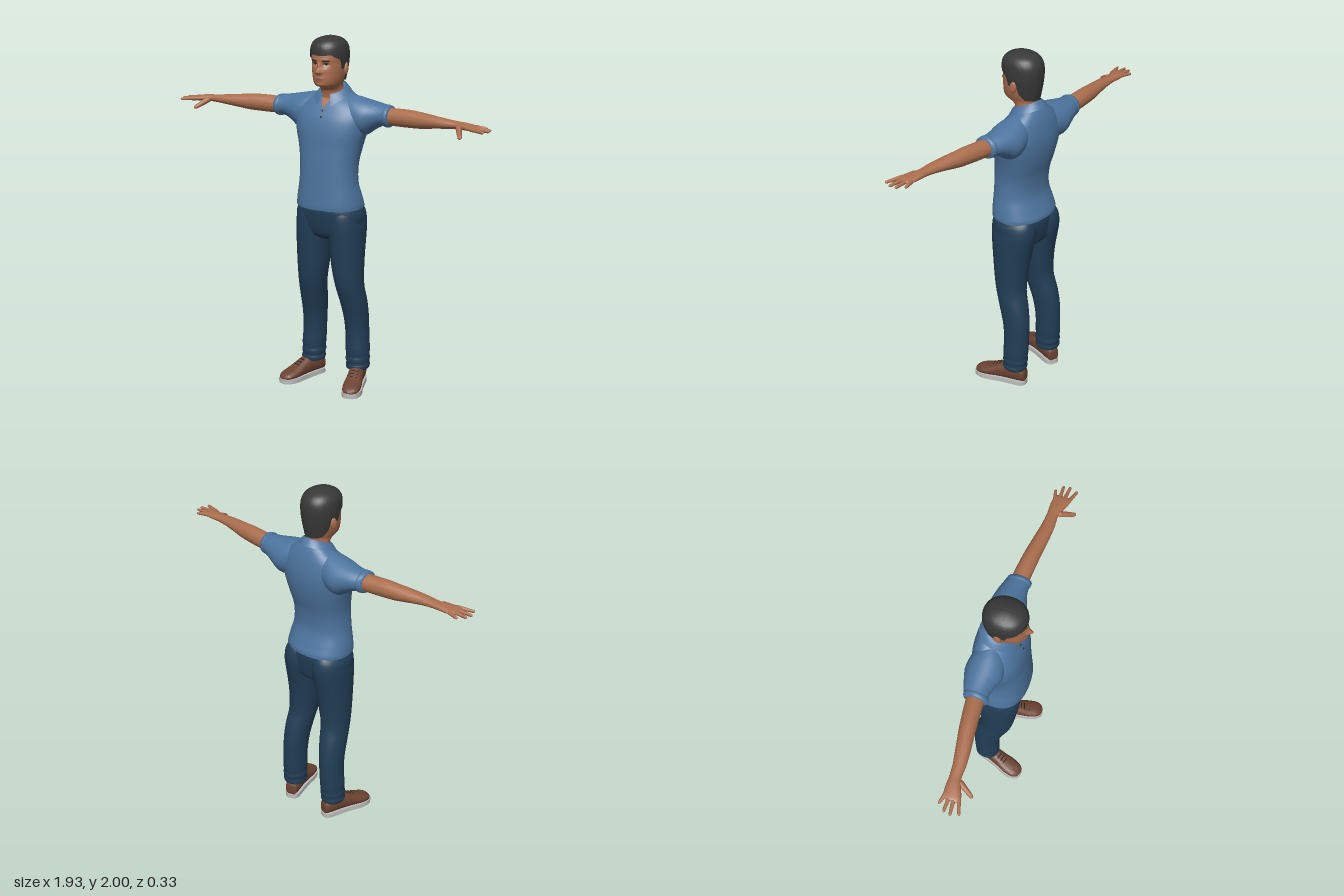
import * as THREE from 'three';
import { toCreasedNormals } from 'three/addons/utils/BufferGeometryUtils.js';

const paint = (name, color, side = THREE.FrontSide) =>
  Object.assign(new THREE.MeshStandardMaterial({ color, side }), { name });

// Skin a list of point rows; the winding is flipped when it would face inwards
function skinRows(rows, closed = true, caps = [true, true]) {
  const n = rows[0].length, pts = rows.flat(), idx = [];
  const last = closed ? n : n - 1;
  for (let r = 0; r < rows.length - 1; r++) for (let i = 0; i < last; i++) {
    const a = r * n + i, b = r * n + (i + 1) % n;
    idx.push(a, a + n, b, b, a + n, b + n);
  }
  [0, rows.length - 1].forEach((r, k) => {
    if (!caps[k]) return;
    const c = rows[r].reduce((s, p) => s.add(p), new THREE.Vector3()).divideScalar(n);
    pts.push(c);
    for (let i = 0; i < n; i++) {
      const a = r * n + i, b = r * n + (i + 1) % n;
      idx.push(pts.length - 1, ...(k ? [b, a] : [a, b]));
    }
  });
  const mid = pts.reduce((s, p) => s.add(p), new THREE.Vector3()).divideScalar(pts.length);
  const q = pts.map(p => p.clone().sub(mid));
  let volume = 0;
  for (let i = 0; i < idx.length; i += 3)
    volume += q[idx[i]].dot(q[idx[i + 1]].clone().cross(q[idx[i + 2]]));
  if (volume < 0) idx.reverse();
  const g = new THREE.BufferGeometry().setFromPoints(pts);
  g.setIndex(idx);
  return toCreasedNormals(g, 1.0);
}

// Smoothly interpolate stations [t, centre, radius, high, low, tilt]
function refine(st, sub) {
  const out = [], at = i => st[Math.min(Math.max(i, 0), st.length - 1)];
  for (let i = 0; i < st.length - 1; i++) for (let k = 0; k < sub; k++) {
    const f = k / sub;
    out.push([0, 1, 2, 3, 4, 5].map(j => {
      const [a, b, c, d] = [-1, 0, 1, 2].map(o => at(i + o)[j] ?? 0);
      return b + 0.5 * f * (c - a + f * (2 * a - 5 * b + 4 * c - d + f * (3 * (b - c) + d - a)));
    }));
  }
  out.push([0, 1, 2, 3, 4, 5].map(j => at(st.length)[j] ?? 0));
  return out;
}

// Loft superellipse rings along an axis; s = -1 mirrors in x
function loft(st, { axis = 'y', s = 1, seg = 40, sub = 5, e = 2, warp } = {}) {
  const rows = refine(st, sub).map(([t, c, r, hi, lo, tilt]) => Array.from({ length: seg }, (_, i) => {
    const a = i / seg * Math.PI * 2, pw = v => Math.sign(v) * Math.abs(v) ** (2 / e);
    const u = c + r * pw(Math.cos(a)), v = (hi + lo) / 2 + (hi - lo) / 2 * pw(Math.sin(a));
    const w = t - tilt * Math.sin(a);
    const p = axis === 'y' ? new THREE.Vector3(u, w, v)
      : axis === 'x' ? new THREE.Vector3(w, v, u) : new THREE.Vector3(u, v, w);
    if (warp) warp(p);
    p.x *= s;
    return p;
  }));
  return skinRows(rows);
}

// Thin plate lying on the front of a mesh; xs = [left, right] at y0 then at y1
function patch(target, [a, b, c, d], y0, y1, lift = 0.003) {
  const g = new THREE.PlaneGeometry(1, 1, 8, 8), p = g.attributes.position;
  const ray = new THREE.Raycaster(), dir = new THREE.Vector3(0, 0, -1);
  for (let i = 0; i < p.count; i++) {
    const u = p.getX(i) + 0.5, v = p.getY(i) + 0.5;
    const x = (a + (b - a) * u) * (1 - v) + (c + (d - c) * u) * v, y = y0 + (y1 - y0) * v;
    ray.set(new THREE.Vector3(x, y, 1), dir);
    p.setXYZ(i, x, y, (ray.intersectObject(target)[0]?.point.z ?? 0.05) + lift);
  }
  g.computeVertexNormals();
  return g;
}
const mirrorX = ([a, b, c, d], s) => s > 0 ? [a, b, c, d] : [-b, -a, -d, -c];

// Tapered capsule between two points
function finger(a, b, r, s) {
  const A = new THREE.Vector3(...a), B = new THREE.Vector3(...b);
  A.x *= s; B.x *= s;
  const d = B.clone().sub(A), len = d.length();
  const g = new THREE.CapsuleGeometry(r, len - r, 5, 12), p = g.attributes.position;
  for (let i = 0; i < p.count; i++) {
    const k = 0.85 - 0.35 * p.getY(i) / len;
    p.setXYZ(i, p.getX(i) * k, p.getY(i), p.getZ(i) * k);
  }
  g.computeVertexNormals();
  g.applyQuaternion(new THREE.Quaternion().setFromUnitVectors(new THREE.Vector3(0, 1, 0), d.normalize()));
  return g.translate((A.x + B.x) / 2, (A.y + B.y) / 2, (A.z + B.z) / 2);
}

export function createModel() {
  const model = new THREE.Group();
  const skin = paint('skin', 0xab6e4e), hair = paint('hair', 0x383838);
  const shirt = paint('shirt blue', 0x4d759f, THREE.DoubleSide), trousers = paint('trouser navy', 0x223e56);
  const leather = paint('shoe brown', 0x6c4331), rubber = paint('sole grey', 0xbdbdbd);
  const dark = paint('dark detail', 0x241c1a), white = paint('eye white', 0xcfc8c2);
  const lip = paint('lips', 0x94594a);
  const add = (name, geo, mat, parent = model) => {
    const m = new THREE.Mesh(geo, mat);
    m.name = name;
    parent.add(m);
    return m;
  };

  // Head and neck, with nose, lips, chin, brow and eye sockets pushed in and out
  const bump = (p, h, x, y, sx, sy) => h * Math.exp(-(((Math.abs(p.x) - x) / sx) ** 2) - ((p.y - y) / sy) ** 2);
  const head = add('head', loft([
    [1.6, 0, .064, .03, -.1], [1.69, 0, .061, .035, -.095], [1.718, 0, .06, .055, -.09],
    [1.735, 0, .063, .1, -.09], [1.75, 0, .07, .112, -.09], [1.78, 0, .079, .114, -.094],
    [1.82, 0, .085, .114, -.1], [1.86, 0, .088, .112, -.105], [1.9, 0, .09, .112, -.107],
    [1.94, 0, .083, .1, -.098], [1.97, 0, .06, .07, -.07], [1.985, 0, .02, .03, -.03],
  ], {
    seg: 96, sub: 7, e: 2.15, warp: p => {
      if (p.z < 0.03) return;
      p.z += bump(p, .03, 0, 1.817, .013, .014) + bump(p, .014, 0, 1.845, .01, .025)
        + bump(p, .007, .013, 1.81, .009, .009) + bump(p, .01, 0, 1.777, .025, .012)
        - bump(p, .004, 0, 1.777, .03, .003) + bump(p, .008, 0, 1.745, .022, .012)
        - bump(p, .012, .034, 1.853, .016, .013) + bump(p, .004, .03, 1.878, .03, .01);
    },
  }), skin);
  add('lips', patch(head, [-.021, .021, -.013, .013], 1.77, 1.784, .0015), lip);
  for (const s of [1, -1]) {
    add('eye', patch(head, mirrorX([.024, .044, .021, .047], s), 1.847, 1.857, .0015), white);
    add('iris', patch(head, mirrorX([.03, .039, .029, .04], s), 1.847, 1.857, .003), dark);
    add('eyelid', patch(head, mirrorX([.019, .05, .024, .046], s), 1.856, 1.861, .003), dark);
    add('eyebrow', patch(head, mirrorX([.016, .056, .02, .053], s), 1.87, 1.879, .003), hair);
    const ear = add('ear', new THREE.SphereGeometry(1, 20, 14), skin);
    ear.scale.set(.012, .034, .02);
    ear.position.set(s * .094, 1.825, -.012);
    ear.rotation.set(-.15, s * .3, 0);
  }

  // Hair cap whose lower edge follows the forehead, temples, ears and nape
  const hairSt = refine([
    [1.72, 0, .064, .05, -.094], [1.78, 0, .083, .1, -.106], [1.85, 0, .097, .113, -.116],
    [1.91, 0, .1, .117, -.118], [1.95, 0, .094, .111, -.108], [1.978, 0, .073, .086, -.083],
    [1.994, 0, .036, .042, -.042], [2, 0, .004, .004, -.006]], 8);
  const edge = [[-1, 1.745], [-.55, 1.755], [-.3, 1.79], [-.2, 1.855], [.02, 1.862], [.1, 1.825],
    [.22, 1.83], [.3, 1.875], [.65, 1.893], [.8, 1.908], [1, 1.902]];
  const lerpTable = (t, x) => {
    const i = Math.max(1, t.findIndex(r => r[0] >= x - 1e-9)), [a, b] = [t[i - 1], t[i]];
    return a[1] + (b[1] - a[1]) * (x - a[0]) / (b[0] - a[0]);
  };
  const hairRows = Array.from({ length: 30 }, (_, k) => Array.from({ length: 96 }, (_, i) => {
    const a = i / 96 * Math.PI * 2, f = Math.sin(a), v = Math.max(0, k - 1) / 28;
    const y = THREE.MathUtils.lerp(lerpTable(edge, f), 2, Math.sin(v * Math.PI / 2));
    const [rx, hi, lo] = [2, 3, 4].map(j => lerpTable(hairSt.map(r => [r[0], r[j]]), y));
    const q = k === 0 ? .86 : 1, pw = c => Math.sign(c) * Math.abs(c) ** .93;
    return new THREE.Vector3(rx * q * pw(Math.cos(a)), y, (hi + lo) / 2 + (hi - lo) / 2 * q * pw(f));
  }));
  add('hair', skinRows(hairRows, true, [false, true]), hair);

  // Polo shirt body
  const body = add('shirtBody', loft([
    [1.055, 0, .191, .139, -.155], [1.075, 0, .191, .14, -.153], [1.12, 0, .184, .138, -.136],
    [1.2, 0, .169, .134, -.112], [1.3, 0, .167, .129, -.118], [1.4, 0, .184, .121, -.144],
    [1.48, 0, .205, .115, -.158], [1.55, 0, .212, .1, -.16], [1.61, 0, .192, .077, -.15, .01],
    [1.65, 0, .15, .06, -.135, .02], [1.68, 0, .1, .045, -.115, .03], [1.7, 0, .07, .035, -.1, .04],
  ], { seg: 64, e: 2.3 }), shirt);
  add('openNeck', patch(body, [-.004, .004, -.03, .03], 1.615, 1.662), skin);
  add('placket', patch(body, [-.014, .014, -.014, .014], 1.545, 1.615), shirt);
  for (const y of [1.568, 1.6]) add('button', patch(body, [-.005, .005, -.005, .005], y - .005, y + .005, .005), dark);

  // Folded collar, open at the front
  const collar = [0, .15, .4, .7, 1].map(v => Array.from({ length: 49 }, (_, i) => {
    const gap = .3 + .12 * v, a = Math.PI / 2 + gap + (Math.PI * 2 - 2 * gap) * i / 48, f = Math.sin(a);
    const k = v ** .8, top = 1.715 - .03 * f, drop = .035 + .032 * Math.max(0, f) ** 2;
    return new THREE.Vector3((.069 + .033 * k) * Math.cos(a), top - drop * v, -.033 + (.073 + .031 * k) * f);
  }));
  add('collar', skinRows(collar, false, [false, false]), shirt);

  // Trouser seat
  add('trouserSeat', loft([
    [.87, 0, .08, .05, -.09], [.9, 0, .16, .095, -.125], [.95, 0, .192, .114, -.138],
    [1.01, 0, .198, .125, -.145], [1.045, 0, .189, .128, -.144], [1.08, 0, .175, .122, -.13],
  ], { seg: 56, e: 2.3 }), trousers);

  for (const s of [1, -1]) {
    // Sleeve with cuff
    add('sleeve', loft([
      [.07, -.05, .07, 1.685, 1.5], [.14, -.05, .095, 1.676, 1.47], [.2, -.052, .1, 1.664, 1.465],
      [.25, -.055, .085, 1.654, 1.497], [.3, -.053, .071, 1.645, 1.523], [.352, -.042, .062, 1.637, 1.528],
    ], { axis: 'x', s }), shirt);
    add('cuff', loft([
      [.328, -.047, .062, 1.64, 1.527], [.331, -.046, .068, 1.644, 1.522],
      [.352, -.042, .065, 1.64, 1.524], [.356, -.042, .06, 1.635, 1.53],
    ], { axis: 'x', s, sub: 2 }), shirt);

    // Bare arm and palm
    add('arm', loft([
      [.31, -.046, .05, 1.627, 1.535], [.4, -.039, .047, 1.63, 1.534], [.48, -.031, .045, 1.631, 1.536],
      [.54, -.024, .043, 1.627, 1.539], [.62, -.012, .04, 1.62, 1.55], [.7, -.002, .035, 1.612, 1.56],
      [.765, 0, .031, 1.606, 1.566], [.81, .006, .038, 1.604, 1.566], [.85, .015, .046, 1.599, 1.567],
      [.878, .019, .046, 1.594, 1.569], [.89, .021, .04, 1.588, 1.573],
    ], { axis: 'x', s }), skin);
    const tips = [[-.016, .916, -.032], [.005, .95, .003], [.028, .957, .038], [.05, .942, .08]];
    for (const [z, x, tz] of tips)
      add('finger', finger([.855, 1.583, z], [x, 1.577, tz], .0115, s), skin);
    add('thumb', finger([.785, 1.582, .03], [.828, 1.543, .106], .0165, s), skin);

    // Trouser leg, gathered at the ankle
    add('trouserLeg', loft([
      [.1, .146, .063, 0, -.133], [.115, .147, .067, .005, -.138], [.135, .146, .063, .001, -.136],
      [.155, .145, .067, .005, -.141], [.18, .145, .064, .001, -.139], [.21, .144, .066, .004, -.143],
      [.3, .14, .064, .002, -.146], [.4, .136, .066, .015, -.146], [.5, .13, .071, .043, -.132],
      [.6, .12, .076, .074, -.107], [.7, .112, .085, .09, -.109], [.8, .107, .092, .1, -.122],
      [.9, .103, .097, .11, -.143], [.97, .1, .098, .114, -.155], [1.03, .097, .09, .11, -.15],
      [1.07, .09, .07, .09, -.13],
    ], { s, e: 2.15 }), trousers);

    // Shoe turned slightly outwards
    const shoe = new THREE.Group();
    shoe.name = 'shoe';
    shoe.position.set(s * .172, 0, .008);
    shoe.rotation.y = s * .3;
    model.add(shoe);
    add('upper', loft([
      [-.147, 0, .02, .065, .02], [-.14, 0, .034, .1, .018], [-.1, 0, .042, .128, .015],
      [-.04, 0, .043, .128, .015], [.02, 0, .046, .104, .015], [.08, 0, .052, .076, .015],
      [.13, 0, .047, .06, .015], [.155, 0, .032, .047, .018], [.165, 0, .012, .037, .022],
    ], { axis: 'z', e: 2.3 }), leather, shoe);
    const half = [[.02, -.15], [.041, -.125], [.044, -.06], [.047, .01], [.056, .08], [.05, .13], [.026, .164]];
    const outline = [...half, ...half.map(([x, z]) => [-x, z]).reverse()].map(([x, z]) => new THREE.Vector2(x, -z));
    const curve = new THREE.SplineCurve([...outline, outline[0]]);
    const sole = new THREE.ExtrudeGeometry(new THREE.Shape(curve.getPoints(70)), { depth: .028, bevelEnabled: false });
    add('sole', sole.rotateX(-Math.PI / 2), rubber, shoe);
    for (let i = 0; i < 3; i++) {
      const lace = add('lace', new THREE.CapsuleGeometry(.003, .034, 3, 8), dark, shoe);
      lace.rotation.z = Math.PI / 2;
      lace.position.set(0, .108 - i * .0105, .012 + i * .02);
    }
  }
  return model;
}
